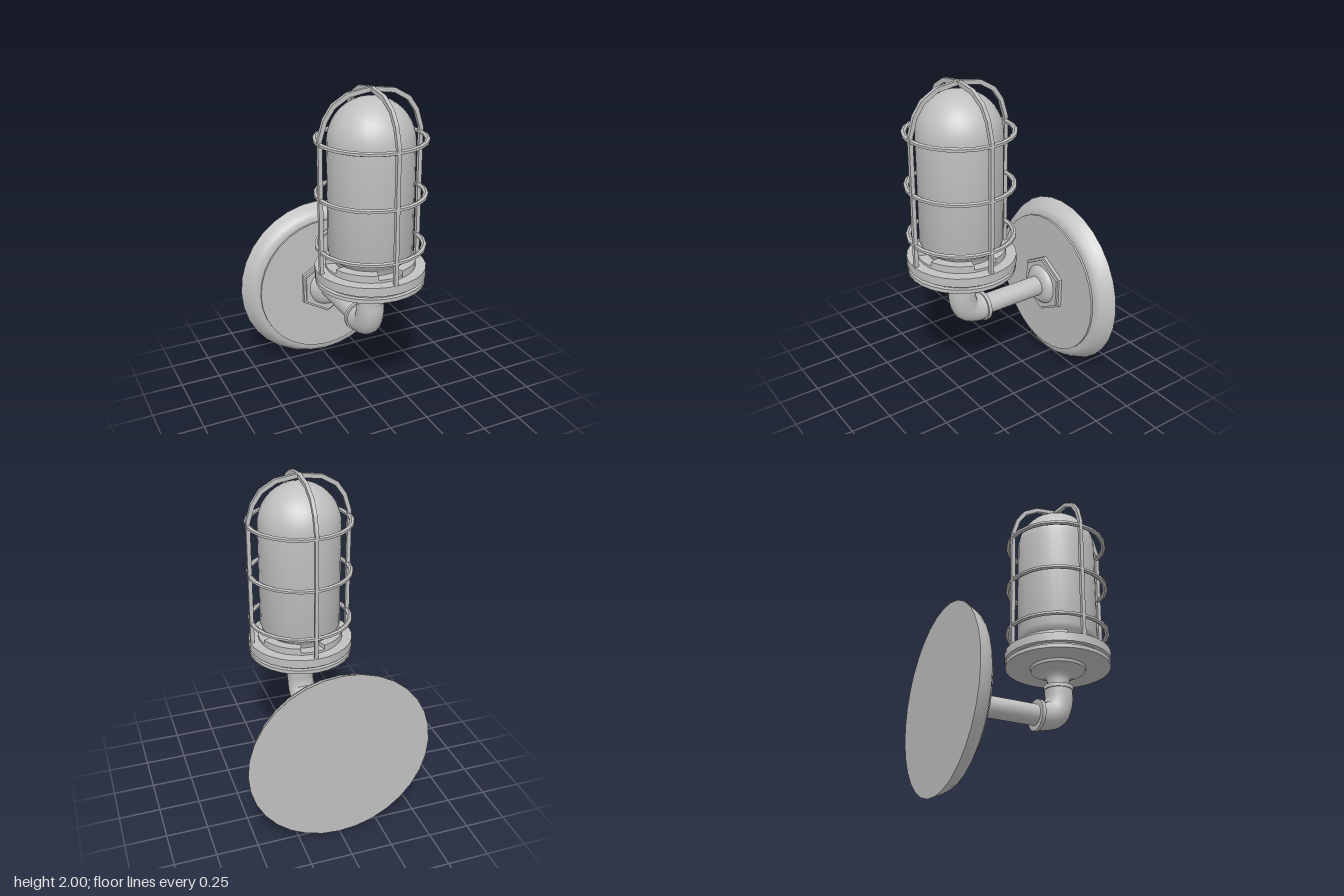
import * as THREE from 'three';
import { toCreasedNormals, mergeVertices } from 'three/addons/utils/BufferGeometryUtils.js';

const AXIS_Z = 0.212; // lamp axis
const PIPE_Y = 0.55;  // wall pipe axis

export function createModel() {
  const model = new THREE.Group();
  model.name = 'wallLamp';
  const metal = new THREE.MeshStandardMaterial({ color: 0xc0c0c0 });
  metal.name = 'grey metal';

  function add(name, geometry, parent = model) {
    const mesh = new THREE.Mesh(geometry, metal);
    mesh.name = name;
    parent.add(mesh);
    return mesh;
  }
  // Turned part from [radius, height] pairs, listed bottom to top
  function lathe(profile, sides, crease = 0.6, start = 0, sweep = Math.PI * 2) {
    const points = profile.map(([r, h]) => new THREE.Vector2(r, h));
    return toCreasedNormals(new THREE.LatheGeometry(points, sides, start, sweep), crease);
  }
  const upright = (g) => g.translate(0, 0, AXIS_Z);
  const facing = (g) => g.rotateX(Math.PI / 2).translate(0, PIPE_Y, 0);

  // Wall plate
  add('wallPlate', facing(lathe([[0, -0.54], [0.55, -0.54], [0.53, -0.495], [0.505, -0.455],
    [0.48, -0.441], [0.455, -0.439], [0.455, -0.426], [0, -0.426]], 32)));

  // Hexagonal nut with a stepped face and domed boss
  add('hexNut', facing(lathe([[0, -0.43], [0.192, -0.43], [0.192, -0.405], [0.176, -0.403],
    [0.176, -0.391], [0, -0.391]], 6, 0.3)));
  add('boss', facing(lathe([[0.13, -0.392], [0.122, -0.378], [0.105, -0.362], [0.08, -0.352],
    [0.062, -0.352]], 24, 0.9)));

  // Wall pipe, elbow and collars
  add('wallPipe', facing(lathe([[0.064, -0.36], [0.064, 0.07]], 24)));
  const bend = new THREE.CatmullRomCurve3([
    [0.55, 0.07], [0.55, 0.115], [0.579, 0.184], [0.65, AXIS_Z], [0.73, AXIS_Z],
  ].map(([y, z]) => new THREE.Vector3(0, y, z)));
  add('elbow', new THREE.TubeGeometry(bend, 16, 0.084, 20));
  add('elbowBackCollar', facing(lathe([[0.05, 0.056], [0.095, 0.056], [0.095, 0.078], [0.05, 0.078]], 20)));
  add('elbowTopCollar', upright(lathe([[0.05, 0.725], [0.09, 0.725], [0.09, 0.75], [0.05, 0.75]], 20)));

  // Neck flaring out into the holder
  add('neck', upright(lathe([[0.066, 0.74], [0.066, 0.785], [0.075, 0.808], [0.092, 0.825],
    [0.11, 0.83], [0.165, 0.852], [0.17, 0.872]], 24)));

  // Holder: grooved discs and a low collar with four lugs
  add('holder', upright(lathe([[0, 0.87], [0.32, 0.87], [0.32, 0.893], [0.295, 0.893], [0.295, 0.912],
    [0.323, 0.912], [0.323, 0.965], [0.262, 0.967], [0.262, 0.982], [0.2, 0.982]], 28)));
  const lugs = new THREE.Group();
  lugs.name = 'holderLugs';
  model.add(lugs);
  for (let i = 0; i < 4; i++) {
    const start = i * Math.PI / 2 + 0.28, sweep = 1.0;
    const shape = new THREE.Shape();
    shape.absarc(0, 0, 0.262, start, start + sweep, false);
    shape.absarc(0, 0, 0.2, start + sweep, start, true);
    const lug = new THREE.ExtrudeGeometry(shape, { depth: 0.04, bevelEnabled: false, curveSegments: 6 });
    add('lug', upright(lug.rotateX(-Math.PI / 2).translate(0, 0.97, 0)), lugs);
  }

  // Domed lamp cover
  const cover = [[0.2, 0.975], [0.205, 1.01], [0.235, 1.035], [0.246, 1.065]];
  for (let i = 0; i <= 10; i++) {
    const a = i / 10 * Math.PI / 2;
    cover.push([i === 10 ? 0 : 0.246 * Math.cos(a), 1.7 + 0.247 * Math.sin(a)]);
  }
  add('lampCover', upright(lathe(cover, 32, 0.9)));

  // Guard cage: three hoops and two crossed arches
  const cage = new THREE.Group();
  cage.name = 'guardCage';
  cage.position.z = AXIS_Z;
  model.add(cage);
  for (const y of [1.095, 1.405, 1.717]) {
    add('hoop', lathe([[0.292, y - 0.006], [0.305, y - 0.013], [0.32, y - 0.007], [0.32, y + 0.007],
      [0.305, y + 0.013], [0.292, y + 0.006], [0.292, y - 0.006]], 24, 0.5), cage);
  }
  const outer = [[0.32, 0.95], [0.32, 1.745], [0.288, 1.85], [0.235, 1.926], [0.142, 1.98], [0, 2]];
  const inner = [[0.296, 0.95], [0.296, 1.74], [0.265, 1.838], [0.218, 1.905], [0.133, 1.955], [0, 1.975]];
  const mirrored = (side) => side.concat(side.slice(0, -1).reverse().map(([x, y]) => [-x, y]));
  const outline = mirrored(outer).concat(mirrored(inner).reverse());
  const arch = new THREE.Shape(outline.map(([x, y]) => new THREE.Vector2(x, y)));
  for (const turn of [0, Math.PI / 2]) {
    const bar = new THREE.ExtrudeGeometry(arch, { depth: 0.022, bevelEnabled: false });
    add('archBar', bar.translate(0, 0, -0.011).rotateY(turn), cage);
  }
  return model;
}
